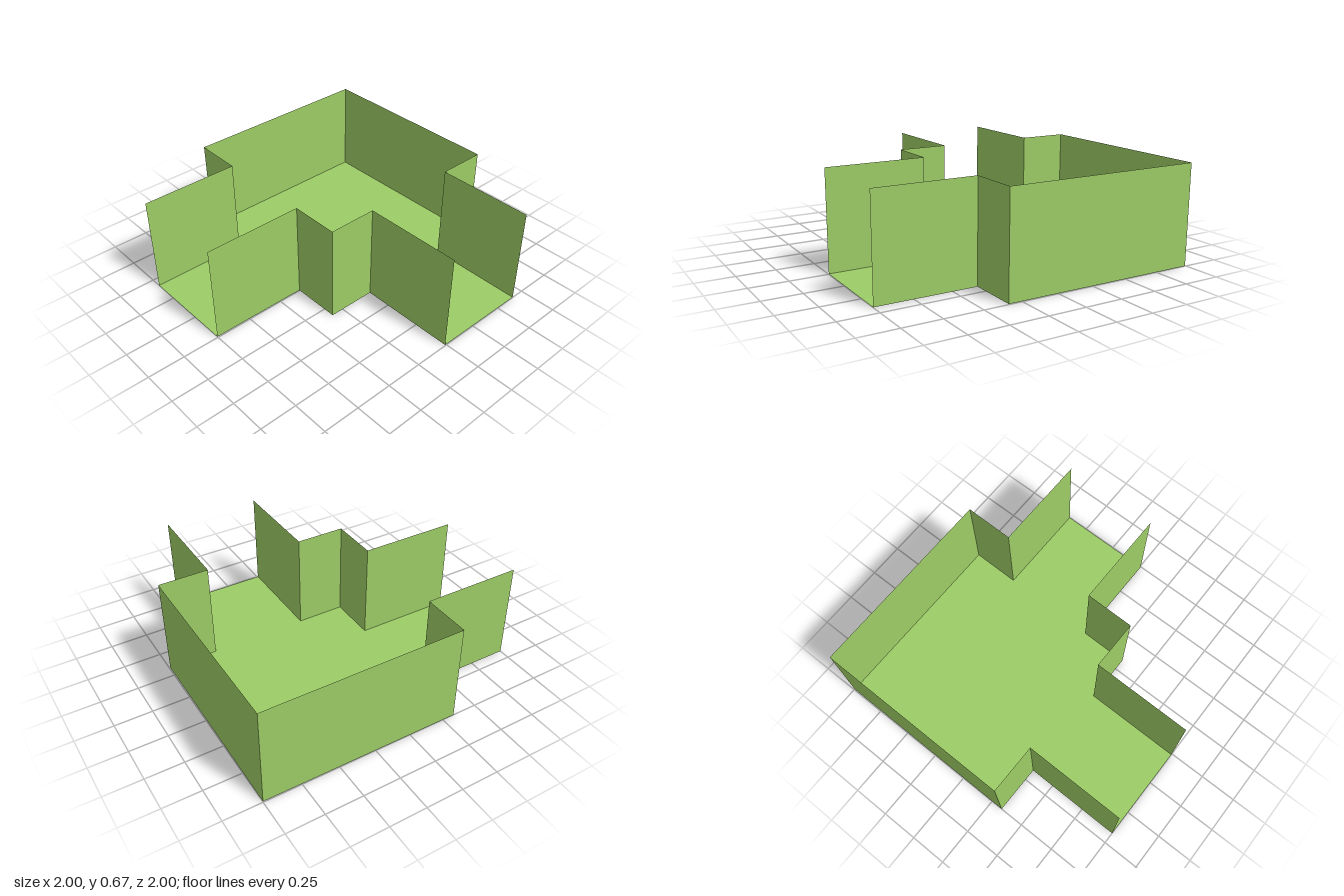
import * as THREE from 'three';

const HEIGHT = 0.665;

// Wall runs in plan as [x, z]; the gaps between them are the open doorways
const outerRun = [
  [-1, -0.674], [-0.334, -0.67], [-0.332, -1], [0.998, -0.995],
  [0.993, 0.336], [0.66, 0.334], [0.657, 0.999],
];
const innerRun = [[-0.007, 0.996], [-0.005, 0.331], [-0.337, 0.329], [-0.335, -0.003], [-1, -0.007]];

const material = new THREE.MeshStandardMaterial({
  color: 0x9ccc65, flatShading: true, side: THREE.DoubleSide,
});

// One upright sheet standing between two plan points
function makeWall([x0, z0], [x1, z1]) {
  const dx = x1 - x0, dz = z1 - z0;
  const geometry = new THREE.PlaneGeometry(Math.hypot(dx, dz), HEIGHT);
  geometry.rotateY(Math.PI - Math.atan2(dz, dx)); // normal faces outward
  geometry.translate((x0 + x1) / 2, HEIGHT / 2, (z0 + z1) / 2);
  return new THREE.Mesh(geometry, material);
}

export function createModel() {
  const model = new THREE.Group();
  model.name = 'roomShell';

  // Floor fills the whole outline
  const outline = [...outerRun, ...innerRun].map(([x, z]) => new THREE.Vector2(x, -z));
  const floorGeometry = new THREE.ShapeGeometry(new THREE.Shape(outline));
  floorGeometry.rotateX(-Math.PI / 2);
  const floor = new THREE.Mesh(floorGeometry, material);
  floor.name = 'floor';
  model.add(floor);

  // Walls along both runs
  for (const [name, run] of [['outerWalls', outerRun], ['innerCornerWalls', innerRun]]) {
    const walls = new THREE.Group();
    walls.name = name;
    for (let i = 0; i < run.length - 1; i++) {
      const wall = makeWall(run[i], run[i + 1]);
      wall.name = 'wall';
      walls.add(wall);
    }
    model.add(walls);
  }
  return model;
}
